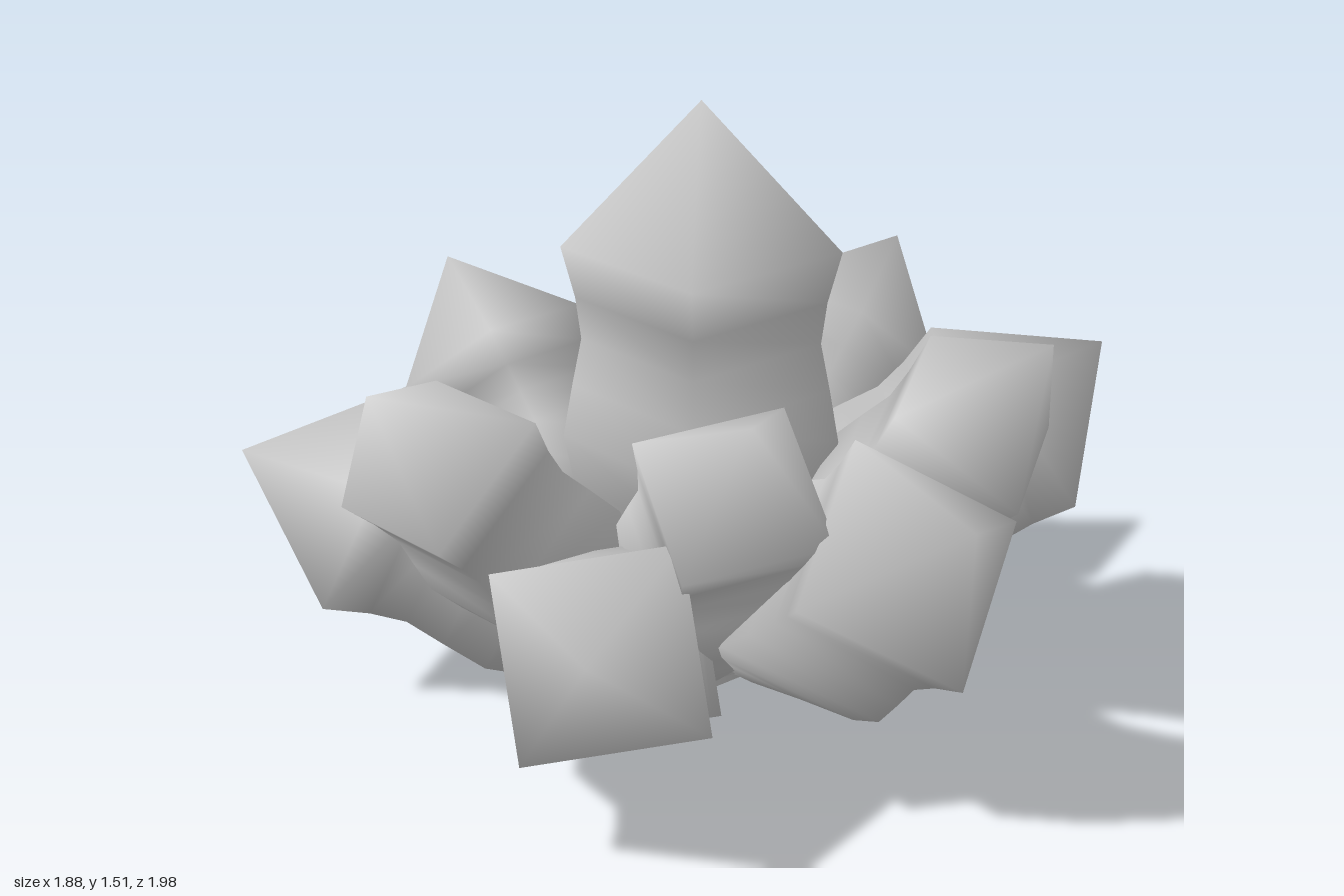
import * as THREE from 'three';
import { mergeVertices } from 'three/addons/utils/BufferGeometryUtils.js';

// Crystal outline: [half-width factor, fraction of length]
const PROFILE = [
  [0, 0], [0.34, 0], [0.62, 0.17], [0.92, 0.34], [1.0, 0.43],
  [0.93, 0.52], [0.86, 0.6], [0.9, 0.67], [1.0, 0.755], [0, 1],
];

// Square-section crystal from base to tip; roll (degrees) turns it about its axis
function crystal(name, base, tip, half, roll, material) {
  const a = new THREE.Vector3(...base);
  const axis = new THREE.Vector3(...tip).sub(a);
  const length = axis.length();
  axis.normalize();

  const points = PROFILE.map(([w, t]) => new THREE.Vector2(w * half * Math.SQRT2, t * length));
  let geometry = new THREE.LatheGeometry(points, 4);
  geometry.rotateY(Math.PI / 4 + THREE.MathUtils.degToRad(roll));

  // Join the seam and the tip so shading is smooth all round
  geometry.deleteAttribute('uv');
  geometry.deleteAttribute('normal');
  geometry = mergeVertices(geometry);
  geometry.computeVertexNormals();

  // Local x stays level, so an unrolled crystal has level edges
  const side = new THREE.Vector3(axis.z, 0, -axis.x);
  if (side.length() < 0.05) side.set(1, 0, 0);
  side.addScaledVector(axis, -side.dot(axis)).normalize();
  const depth = new THREE.Vector3().crossVectors(side, axis);
  geometry.applyMatrix4(new THREE.Matrix4().makeBasis(side, axis, depth).setPosition(a));

  const mesh = new THREE.Mesh(geometry, material);
  mesh.name = name;
  return mesh;
}

export function createModel() {
  const group = new THREE.Group();
  group.name = 'crystalCluster';
  const material = new THREE.MeshStandardMaterial({ color: 0xcccccc, side: THREE.DoubleSide });

  // name, base, tip, half-width, roll; the slanted crystals cross near the middle
  const crystals = [
    ['centerCrystal', [-0.03, 0, -0.11], [-0.015, 1.5, -0.11], 0.24, 0],
    ['frontCrystal', [0.04, 0.08, -0.05], [-0.22, 0.81, 0.99], 0.214, 53],
    ['frontLeftCrystal', [0.13, 0.06, -0.08], [0.34, 1.02, 0.7], 0.183, 20],
    ['frontRightCrystal', [-0.1, 0.06, -0.08], [-0.52, 1.02, 0.62], 0.18, 10],
    ['leftFrontCrystal', [-0.07, 0.09, -0.1], [0.94, 0.79, 0.35], 0.213, 0],
    ['leftCrystal', [0.13, 0.08, -0.28], [0.83, 0.95, -0.28], 0.187, 0],
    ['rightFrontCrystal', [-0.1, 0.11, -0.28], [-0.94, 0.58, 0.57], 0.215, 10],
    ['rightCrystal', [-0.19, 0.08, -0.2], [-0.94, 0.97, -0.19], 0.187, 0],
    ['backLeftCrystal', [-0.12, 0.06, -0.13], [0.6, 0.72, -0.98], 0.208, 15],
    ['backCrystal', [-0.1, 0.09, -0.29], [-0.17, 0.95, -0.94], 0.177, 8],
    ['backRightCrystal', [0.06, 0.09, -0.08], [-0.87, 0.62, -0.86], 0.21, -18],
  ];
  for (const spec of crystals) group.add(crystal(...spec, material));
  return group;
}
